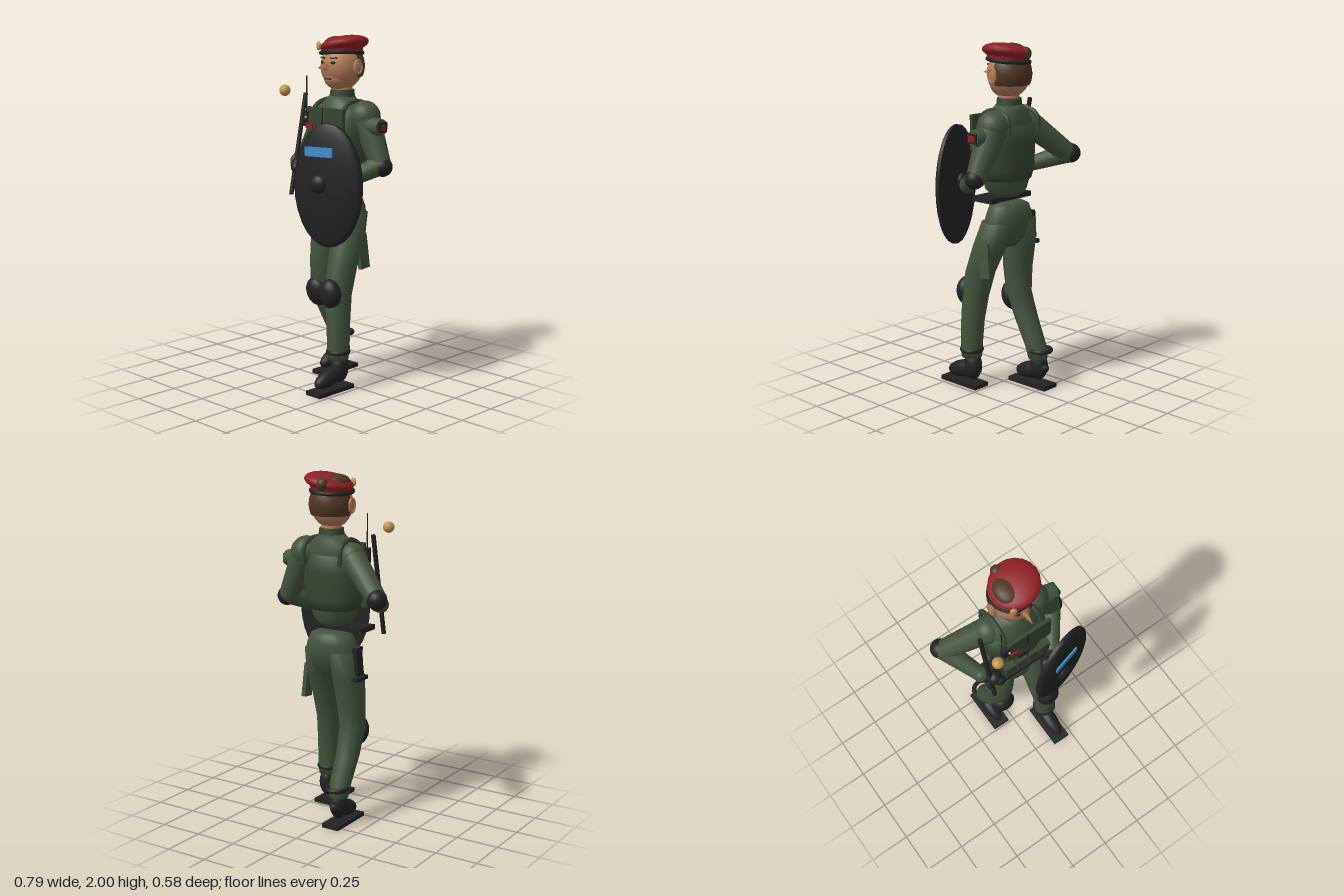
import * as THREE from 'three';

const mat = (name, color) => Object.assign(new THREE.MeshStandardMaterial({ color }), { name });
const V = (x, y, z) => new THREE.Vector3(x, y, z);

export function createModel() {
  const root = new THREE.Group();
  root.name = 'shieldBearer';
  const green = mat('olive cloth', 0x43533c);
  const vestGreen = mat('vest green', 0x37452f);
  const black = mat('black gear', 0x222224);
  const skin = mat('skin', 0xb47c58);
  const red = mat('beret red', 0x8e1f24);
  const brown = mat('hair brown', 0x4f3623);
  const gold = mat('brass', 0xbd984c);
  const blue = mat('visor blue', 0x3f8fcb);

  const add = (name, geo, m, pos = [0, 0, 0], rot = [0, 0, 0], parent = root) => {
    const mesh = new THREE.Mesh(geo, m);
    mesh.name = name;
    mesh.position.set(...pos);
    mesh.rotation.set(...rot);
    parent.add(mesh);
    return mesh;
  };
  const box = (name, m, size, pos, rot, parent) => add(name, new THREE.BoxGeometry(...size), m, pos, rot, parent);
  const ball = (name, m, r, pos, rot, parent) =>
    add(name, new THREE.SphereGeometry(1, 20, 14).scale(...(r.length ? r : [r, r, r])), m, pos, rot, parent);
  // tapered rod between two points
  const rod = (name, m, a, b, ra, rb = ra, sides = 16) => {
    const A = V(...a), B = V(...b), d = B.clone().sub(A);
    const mesh = add(name, new THREE.CylinderGeometry(rb, ra, d.length(), sides), m);
    mesh.position.copy(A).add(B).multiplyScalar(0.5);
    mesh.quaternion.setFromUnitVectors(V(0, 1, 0), d.normalize());
    return mesh;
  };
  const tube = (name, m, pts, r) =>
    add(name, new THREE.TubeGeometry(new THREE.CatmullRomCurve3(pts.map(p => V(...p))), 20, r, 8), m);
  // closed body through elliptical rings [y, cx, cz, rx, rz], listed from the bottom up
  const loft = (name, m, rings, n = 24) => {
    const first = rings[0], last = rings[rings.length - 1];
    const all = [[...first.slice(0, 3), 0, 0], ...rings, [...last.slice(0, 3), 0, 0]];
    const pos = [], idx = [];
    all.forEach(([y, cx, cz, rx, rz], i) => {
      for (let j = 0; j < n; j++) {
        const t = j / n * Math.PI * 2, k = (j + 1) % n;
        pos.push(cx + rx * Math.sin(t), y, cz + rz * Math.cos(t));
        if (i < all.length - 1) {
          const a = i * n + j, b = i * n + k;
          idx.push(a, b, a + n, b, b + n, a + n);
        }
      }
    });
    const g = new THREE.BufferGeometry();
    g.setAttribute('position', new THREE.Float32BufferAttribute(pos, 3));
    g.setIndex(idx);
    g.computeVertexNormals();
    return add(name, g, m);
  };

  // torso, vest and collar
  loft('torso', green, [[1.14, .035, -.045, .07, .08], [1.18, .035, -.05, .12, .115], [1.28, .035, -.055, .16, .125],
    [1.45, .035, -.055, .18, .125], [1.57, .035, -.065, .17, .11], [1.625, .035, -.075, .115, .09], [1.66, .035, -.075, .07, .075]]);
  loft('vest', vestGreen, [[1.24, .035, -.055, .155, .128], [1.3, .035, -.055, .178, .136], [1.45, .035, -.055, .19, .136],
    [1.55, .035, -.06, .172, .122]]);
  add('collar', new THREE.CylinderGeometry(.068, .075, .055, 20), vestGreen, [.037, 1.668, -.077]);
  add('neck', new THREE.CylinderGeometry(.055, .06, .1, 18), skin, [.037, 1.69, -.077]);
  for (const s of [-1, 1]) {
    const x = .035 + s * .12;
    tube('shoulderStrap', vestGreen, [[x, 1.5, .055], [x - s * .005, 1.6, .02], [x - s * .01, 1.635, -.07],
      [x, 1.6, -.17], [x, 1.5, -.185]], .013);
  }

  // chest equipment
  box('chestPanel', vestGreen, [.28, .2, .02], [.05, 1.5, .07]);
  for (let i = 0; i < 4; i++) {
    box('vestPouch', vestGreen, [.06, .09, .04], [-.08 + i * .075, 1.275, .075]);
    box('pouchFlap', vestGreen, [.064, .025, .046], [-.08 + i * .075, 1.31, .076]);
    box('webbing', black, [.025, .008, .03], [-.15, 1.28 + i * .04, .02]);
  }
  box('radio', black, [.045, .085, .03], [-.1, 1.53, .07]);
  rod('radioAntenna', black, [-.115, 1.55, .055], [-.115, 1.77, .055], .004, .003, 8);
  rod('microphone', black, [.035, 1.48, .085], [.035, 1.6, .075], .006, .006, 8);
  box('chestBox', black, [.06, .04, .02], [0, 1.405, .087]);
  box('nameTag', red, [.052, .03, .008], [-.055, 1.495, .095]);
  ball('vestButton', gold, .008, [-.088, 1.54, .09]);
  box('beltFront', black, [.33, .028, .15], [.01, 1.122, .005]);

  // trousers
  loft('hips', green, [[.85, .037, -.05, .08, .06], [.9, .037, -.055, .155, .1], [.97, .037, -.07, .172, .112],
    [1.04, .037, -.077, .152, .108], [1.09, .037, -.077, .128, .095], [1.11, .037, -.077, .085, .065]]);
  loft('leftTrouserLeg', green, [[.18, .172, .092, .058, .06], [.24, .172, .092, .063, .063], [.4, .167, .087, .066, .07],
    [.55, .155, .075, .074, .08], [.7, .15, .04, .082, .09], [.85, .14, -.02, .09, .1], [1, .12, -.07, .085, .1]]);
  loft('rightTrouserLeg', green, [[.17, -.085, -.195, .056, .056], [.24, -.085, -.178, .062, .063], [.4, -.087, -.1, .068, .07],
    [.55, -.082, -.045, .074, .076], [.7, -.073, -.045, .082, .088], [.85, -.065, -.06, .09, .1], [1, -.045, -.085, .085, .1]]);
  ball('leftKneePad', black, [.07, .085, .055], [.157, .565, .14], [.1, 0, 0]);
  ball('rightKneePad', black, [.074, .088, .055], [-.083, .515, .005], [.25, 0, 0]);
  box('thighPocket', green, [.025, .2, .07], [.215, .79, -.06], [.1, 0, .05]);
  box('holster', black, [.03, .16, .06], [-.14, .95, -.08], [0, 0, -.08]);
  box('holsterGrip', black, [.035, .05, .035], [-.13, 1.01, -.06], [.3, 0, 0]);
  box('holsterStrap', black, [.07, .022, .12], [-.13, .85, -.07]);

  // boots: [x, ankle z, sole z]
  for (const [side, x, az, sz] of [['left', .172, .092, .155], ['right', -.087, -.19, -.15]]) {
    const boot = new THREE.Group();
    boot.name = side + 'Boot';
    root.add(boot);
    box('sole', black, [.108, .024, .28], [x, .012, sz], [0, 0, 0], boot);
    ball('bootFoot', black, [.048, .05, .125], [x, .09, sz], [.28, 0, 0], boot);
    ball('bootAnkle', black, [.05, .085, .055], [x, .125, az - .01], [0, 0, 0], boot);
    add('ankleStrap', new THREE.TorusGeometry(.057, .014, 8, 24).rotateX(Math.PI / 2), black,
      [x, .224, side === 'left' ? az : az - .025], [0, 0, 0], boot);
  }

  // arms: shoulder, elbow, wrist and hand centres
  const arms = [
    ['left', [.19, 1.55, -.1], [.318, 1.29, -.095], [.2, 1.2, .09], [.125, 1.2, .15], [.332, 1.28, -.095], .09],
    ['right', [-.105, 1.545, -.085], [-.33, 1.35, -.195], [-.23, 1.27, .015], [-.175, 1.255, .07], [-.342, 1.35, -.21], .078],
  ];
  for (const [side, s, e, w, h, pad, r] of arms) {
    ball(side + 'Shoulder', green, r, s);
    rod(side + 'UpperArm', green, s, e, r - .004, .058);
    ball(side + 'Elbow', green, .058, e);
    rod(side + 'Forearm', green, e, w, .058, .042);
    ball(side + 'Cuff', green, .046, w);
    ball(side + 'ElbowPad', black, .056, pad);
    rod(side + 'GloveWrist', black, w, h, .034, .034);
    ball(side + 'Glove', black, .042, h);
    ball(side + 'GloveFingers', black, .032, [h[0] - (side === 'left' ? .025 : -.015), h[1] - .01, h[2] + .025]);
  }
  box('armPatch', black, [.012, .055, .068], [.338, 1.5, -.083]);
  box('armPatchCentre', red, [.008, .034, .046], [.342, 1.5, -.083]);
  rod('armPatchMount', green, [.23, 1.5, -.09], [.334, 1.5, -.083], .06, .045);

  // baton and floating knob
  rod('baton', black, [-.2, 1.085, .1], [-.2, 1.665, -.02], .013, .013, 12);
  ball('brassKnob', gold, .032, [-.2, 1.688, .145]);

  // shield: domed face, flat back, window, boss and grip
  const shield = new THREE.Group();
  shield.name = 'shield';
  shield.position.set(.19, 1.19, .195);
  shield.rotation.y = .27;
  root.add(shield);
  const dome = new THREE.SphereGeometry(1, 28, 8, 0, Math.PI * 2, 0, Math.PI / 2).rotateX(Math.PI / 2);
  add('shieldFace', dome.scale(.212, .345, .048), black, [0, 0, 0], [0, 0, 0], shield);
  add('shieldBack', new THREE.CylinderGeometry(1, 1, .016, 28).rotateX(Math.PI / 2).scale(.212, .345, 1), black,
    [0, 0, -.006], [0, 0, 0], shield);
  box('shieldWindow', blue, [.168, .053, .009], [-.03, .19, .049], [0, 0, 0], shield);
  ball('shieldBoss', black, [.052, .052, .035], [-.035, .012, .04], [0, 0, 0], shield);
  ball('shieldGrip', black, [.04, .05, .03], [-.035, .012, -.02], [0, 0, 0], shield);

  // head and face
  const cx = .037, cz = -.072;
  ball('head', skin, [.12, .132, .122], [cx, 1.825, cz]);
  ball('jaw', skin, [.085, .07, .09], [cx, 1.765, cz + .022]);
  add('nose', new THREE.ConeGeometry(.03, .1, 4).rotateY(Math.PI / 4).rotateX(Math.PI / 2).scale(.85, 1.6, 1), skin,
    [cx, 1.825, .07], [.05, 0, 0]);
  for (const s of [-1, 1]) {
    const x = cx + s * .042;
    ball('eye', black, [.016, .009, .006], [x, 1.85, .041], [0, s * .4, 0]);
    box('eyebrow', brown, [.042, .009, .009], [x, 1.875, .036], [0, s * .35, s * .08]);
    ball('ear', skin, [.016, .04, .028], [cx + s * .122, 1.825, -.07]);
    add('earRim', new THREE.TorusGeometry(.026, .006, 8, 18).rotateY(Math.PI / 2).scale(1, 1.4, 1), skin,
      [cx + s * .132, 1.825, -.07]);
  }
  box('mouth', brown, [.05, .01, .009], [cx, 1.76, .041]);

  // hair shell over the back of the head
  const hair = new THREE.SphereGeometry(1, 24, 12, 0, Math.PI, .5, 1.52).rotateY(Math.PI);
  const hairMat = brown.clone();
  hairMat.side = THREE.DoubleSide;
  add('hair', hair.scale(.126, .138, .132), hairMat, [cx, 1.828, cz - .002]);

  // beret with band, badge and tufts
  add('beretBand', new THREE.TorusGeometry(.116, .012, 8, 32).rotateX(Math.PI / 2), black, [cx, 1.9, cz], [-.06, 0, .06]);
  ball('beret', red, [.138, .047, .138], [.056, 1.948, -.075], [0, 0, .2]);
  add('beretBase', new THREE.CylinderGeometry(.124, .115, .035, 28), red, [.04, 1.922, cz], [0, 0, .1]);
  ball('hairTuft', brown, [.07, .043, .085], [.006, 1.95, -.07]);
  ball('backHairTuft', brown, [.034, .036, .034], [.025, 1.944, -.185]);
  ball('beretBadge', gold, [.02, .025, .012], [-.03, 1.94, .044], [0, -.4, 0]);
  return root;
}
